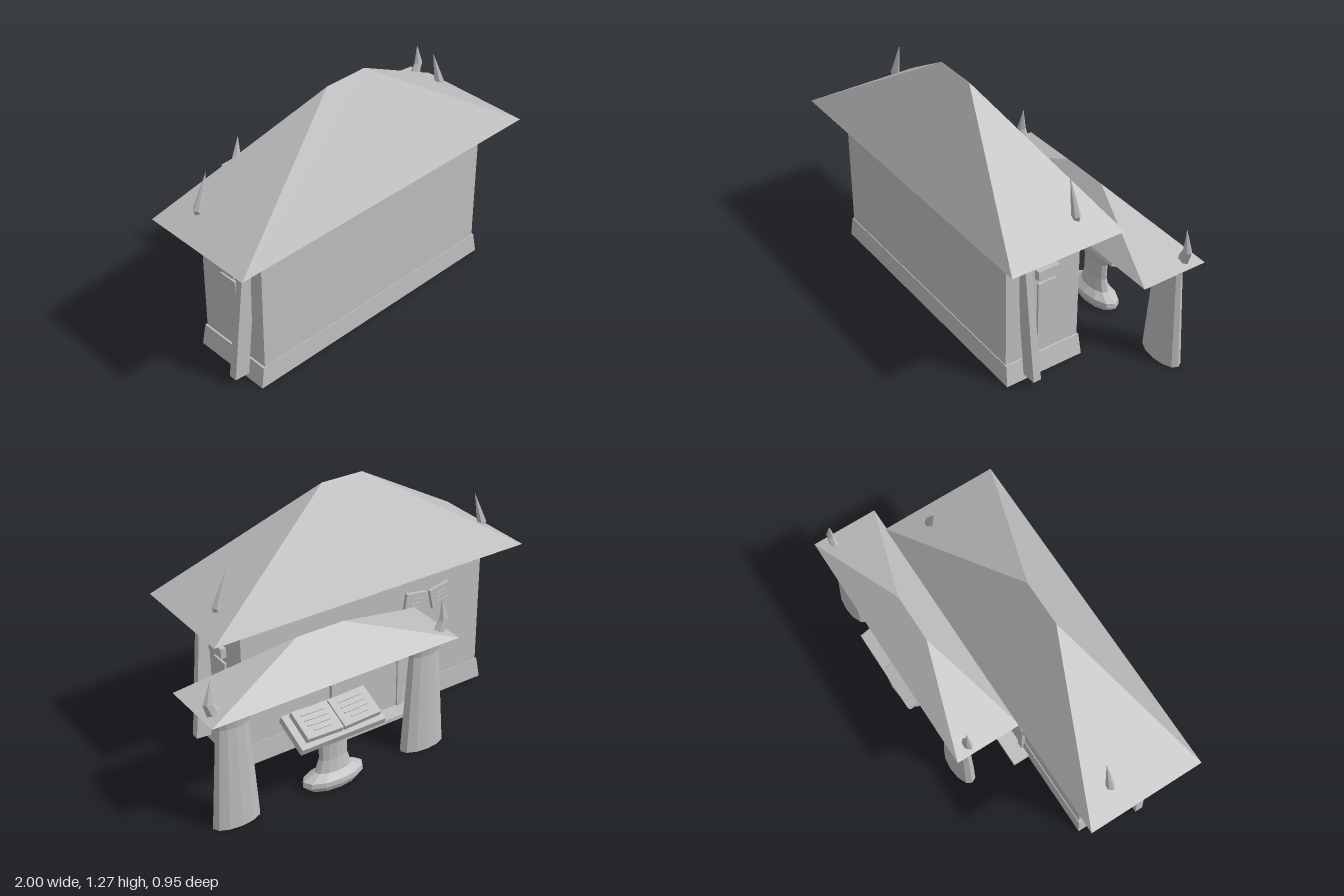
import * as THREE from 'three';

const stone = new THREE.MeshStandardMaterial({ color: 0xbebebe, flatShading: true, side: THREE.DoubleSide });
stone.name = 'plain grey';

function add(parent, name, geometry, x = 0, y = 0, z = 0) {
  geometry.computeVertexNormals();
  const mesh = new THREE.Mesh(geometry, stone);
  mesh.name = name;
  mesh.position.set(x, y, z);
  parent.add(mesh);
  return mesh;
}

function group(parent, name, x = 0, y = 0, z = 0) {
  const g = new THREE.Group();
  g.name = name;
  g.position.set(x, y, z);
  parent.add(g);
  return g;
}

const box = (w, h, d) => new THREE.BoxGeometry(w, h, d);

// Box standing on y = 0 whose top has its own width and depth
function taperedBox(w, h, d, topW, topD) {
  const g = box(w, h, d).translate(0, h / 2, 0);
  const p = g.attributes.position;
  for (let i = 0; i < p.count; i++) {
    if (p.getY(i) > h / 2) {
      p.setX(i, Math.sign(p.getX(i)) * topW / 2);
      p.setZ(i, Math.sign(p.getZ(i)) * topD / 2);
    }
  }
  return g;
}

// Bent six-sided horn through rings of [x, y, radiusX, radiusZ]; side mirrors it
function horn(rings, side) {
  const n = rings.length - 1;
  const g = new THREE.CylinderGeometry(1, 1, n, 6, n);
  const p = g.attributes.position;
  for (let i = 0; i < p.count; i++) {
    const [x, y, rx, rz] = rings[Math.round(p.getY(i) + n / 2)];
    p.setXYZ(i, side * x + p.getZ(i) * rx, y, p.getX(i) * rz);
  }
  return g;
}

// Arched outline with cut corners
function archPath(path, half, shoulder, topHalf, top, bottom) {
  path.moveTo(-half, bottom);
  path.lineTo(half, bottom);
  path.lineTo(half, shoulder);
  path.lineTo(topHalf, top);
  path.lineTo(-topHalf, top);
  path.lineTo(-half, shoulder);
  path.closePath();
  return path;
}

// Elliptical turned part from a profile
function turned(points, sides, flatten) {
  return new THREE.LatheGeometry(points.map(([r, y]) => new THREE.Vector2(r, y)), sides).scale(1, 1, flatten);
}

function buildHouse(model) {
  const house = group(model, 'house', -0.1, 0, 0.167);
  add(house, 'plinth', taperedBox(1.475, 0.11, 0.43, 1.44, 0.418));
  add(house, 'walls', box(1.42, 0.7, 0.41), 0, 0.44, 0);
  add(house, 'mainRoof', taperedBox(1.8, 0.49, 0.61, 0.23, 0), 0, 0.78, 0);

  for (const s of [-1, 1]) {
    const rings = [[0.715, 0.745, 0.045, 0.03], [0.735, 0.79, 0.045, 0.028],
      [0.775, 0.87, 0.029, 0.021], [0.723, 1.04, 0.001, 0.001]];
    add(house, 'roofHorn', horn(rings, s), 0, 0, -0.125);

    // Leaning corner post
    const a = new THREE.Vector3(s * 0.775, 0.035, 0.099);
    const b = new THREE.Vector3(s * 0.712, 0.77, 0.12);
    const post = add(house, 'leaningPost', taperedBox(0.082, a.distanceTo(b), 0.042, 0.07, 0.034), a.x, a.y, a.z);
    post.quaternion.setFromUnitVectors(new THREE.Vector3(0, 1, 0), b.clone().sub(a).normalize());

    // Side window
    add(house, 'sideShutter', box(0.014, 0.315, 0.1), s * 0.715, 0.357, -0.017);
    add(house, 'sideLintel', box(0.035, 0.05, 0.116), s * 0.722, 0.575, -0.012);
  }
}

function buildDoor(model) {
  const door = group(model, 'backDoor', -0.1, 0, -0.036);
  const frame = archPath(new THREE.Shape(), 0.217, 0.3, 0.1, 0.46, 0.02);
  frame.holes.push(archPath(new THREE.Path(), 0.185, 0.29, 0.085, 0.425, 0.021));
  add(door, 'doorFrame', new THREE.ExtrudeGeometry(frame, { depth: 0.022, bevelEnabled: false }), 0, 0, -0.022);
  const leaf = archPath(new THREE.Shape(), 0.185, 0.29, 0.085, 0.425, 0.02);
  add(door, 'doorLeaf', new THREE.ExtrudeGeometry(leaf, { depth: 0.012, bevelEnabled: false }), 0, 0, -0.012);
  add(door, 'doorStep', box(0.54, 0.022, 0.1), 0, 0.011, -0.05);
  add(door, 'doorHandle', box(0.03, 0.03, 0.035), 0.12, 0.168, -0.026);
  for (const s of [-1, 1]) {
    const rings = [[0.205, 0.285, 0.02, 0.012], [0.25, 0.33, 0.017, 0.011], [0.25, 0.405, 0.001, 0.001]];
    add(door, 'doorHorn', horn(rings, s), 0, 0, -0.015);
  }

  // Pinned notices beside the door
  for (const [x, y, tilt] of [[-0.39, 0.592, 0.15], [-0.55, 0.59, -0.2]]) {
    const notice = group(model, 'notice', x, y, -0.046);
    notice.rotation.z = tilt;
    add(notice, 'noticeBoard', box(0.125, 0.11, 0.022));
    for (const dy of [-0.025, 0, 0.025]) add(notice, 'noticeLine', box(0.07, 0.007, 0.006), 0, dy, -0.013);
  }
}

function buildCanopy(model) {
  const canopy = group(model, 'canopy', 0.325, 0, -0.275);
  add(canopy, 'canopyRoof', taperedBox(1.35, 0.19, 0.35, 0.255, 0), 0, 0.6, 0);
  for (const s of [-1, 1]) {
    add(canopy, 'column', turned([[0.125, 0], [0.086, 0.53], [0.115, 0.6]], 12, 0.45), s * 0.53, 0, -0.092);
    const rings = [[0.6, 0.585, 0.035, 0.016], [0.618, 0.615, 0.035, 0.021],
      [0.643, 0.675, 0.027, 0.018], [0.629, 0.785, 0.001, 0.001]];
    add(canopy, 'canopyHorn', horn(rings, s), 0, 0, -0.092);
  }
}

function buildLectern(model) {
  const lectern = group(model, 'lectern', 0.325, 0, -0.372);
  const profile = [[0.14, 0], [0.17, 0.03], [0.165, 0.055], [0.1, 0.085], [0.078, 0.15],
    [0.08, 0.24], [0.115, 0.31], [0.115, 0.33]];
  add(lectern, 'pedestal', turned(profile, 12, 0.45));

  // Sloping desk with an open book, lower toward the back
  const desk = group(lectern, 'desk', 0, 0.348, -0.003);
  desk.rotation.x = -0.43;
  add(desk, 'deskTop', box(0.465, 0.04, 0.2));
  for (const s of [-1, 1]) {
    const page = group(desk, 'bookHalf', s * 0.104, 0.046, 0);
    page.rotation.z = s * 0.07;
    add(page, 'pages', box(0.2, 0.03, 0.16));
    for (let i = 0; i < 4; i++) {
      add(page, 'writtenLine', box(i === 3 ? 0.09 : 0.13, 0.005, 0.007), 0, 0.017, 0.045 - i * 0.03);
    }
  }
}

export function createModel() {
  const model = new THREE.Group();
  model.name = 'hornedHouse';
  buildHouse(model);
  buildDoor(model);
  buildCanopy(model);
  buildLectern(model);
  return model;
}
